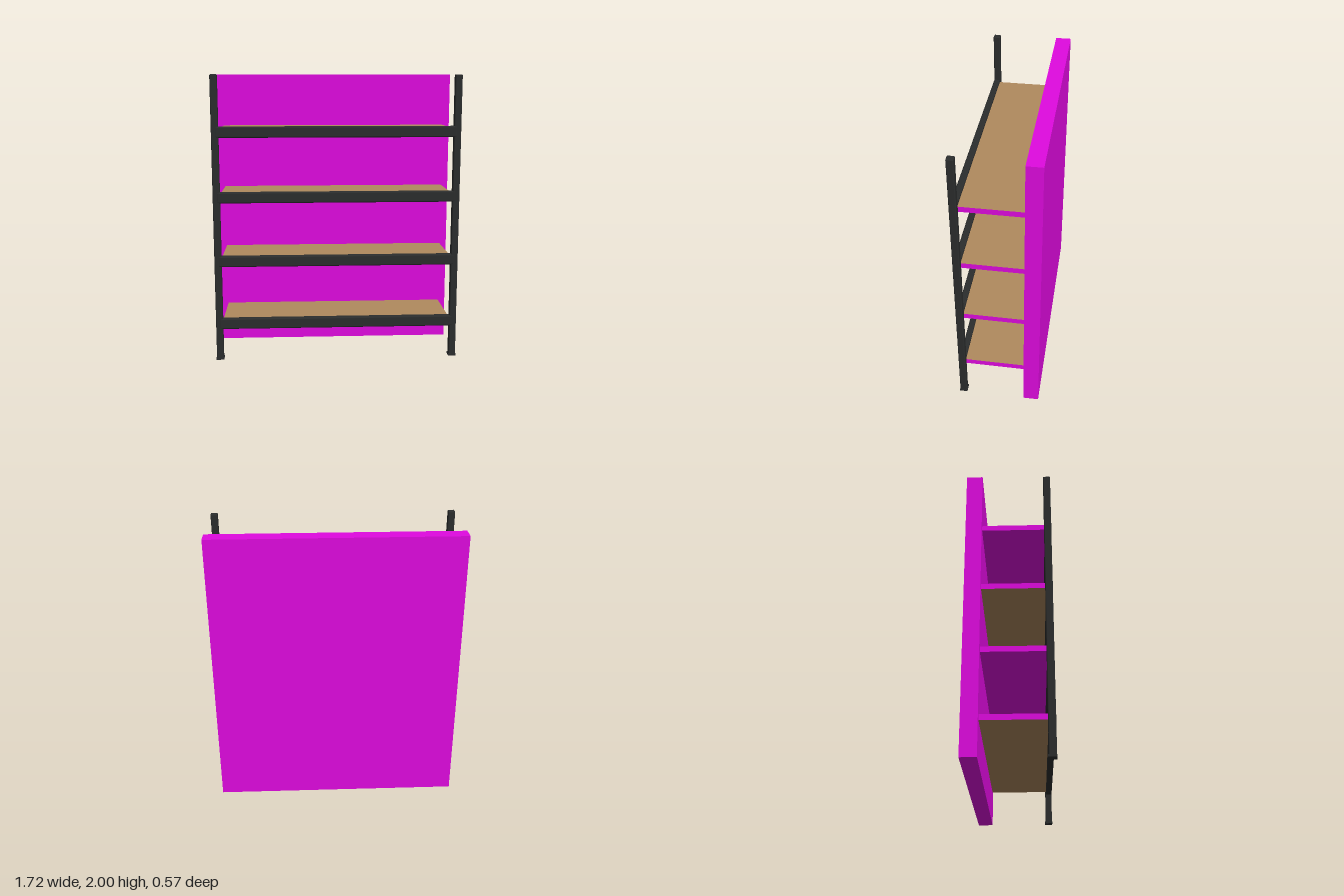
import * as THREE from 'three';
import { RoundedBoxGeometry } from 'three/addons/geometries/RoundedBoxGeometry.js';

export function createModel() {
  const group = new THREE.Group();
  const mat = (color) => new THREE.MeshStandardMaterial({ color });
  const magenta = mat(0xe00ae0), wood = mat(0xb08a5e), metal = mat(0x2b2d2d);

  // Box given by its lower and upper corners
  function box(name, a, b, material, radius = 0) {
    const size = b.map((v, i) => v - a[i]);
    const geo = radius ? new RoundedBoxGeometry(...size, 3, radius) : new THREE.BoxGeometry(...size);
    const mesh = new THREE.Mesh(geo, material);
    mesh.name = name;
    mesh.position.set(...a.map((v, i) => (v + b[i]) / 2));
    group.add(mesh);
  }

  // Solid back panel
  box('backPanel', [-0.858, 0, -0.285], [0.858, 2, -0.178], magenta);

  // Front uprights, each on a slightly wider foot
  for (const side of [-1, 1]) {
    const name = side > 0 ? 'left' : 'right';
    const x = side * 0.831;
    box(name + 'Post', [x - 0.024, 0.004, 0.235], [x + 0.024, 2, 0.283], metal, 0.007);
    box(name + 'Foot', [x - 0.027, 0, 0.231], [x + 0.027, 0.014, 0.285], metal);
  }

  // Four boards with wooden faces and coloured edges, each behind a front rail
  const boardFaces = [magenta, magenta, wood, wood, magenta, magenta];
  const middleFaces = [magenta, magenta, wood, magenta, magenta, magenta];
  for (let i = 0; i < 4; i++) {
    const y = 0.263 + i * 0.45;
    box('shelf' + (i + 1), [-0.806, y - 0.017, -0.19], [0.806, y + 0.021, 0.246],
      i % 2 ? middleFaces : boardFaces);
    box('frontRail' + (i + 1), [-0.828, y - 0.038, 0.24], [0.828, y + 0.038, 0.2845], metal, 0.01);
  }
  return group;
}
